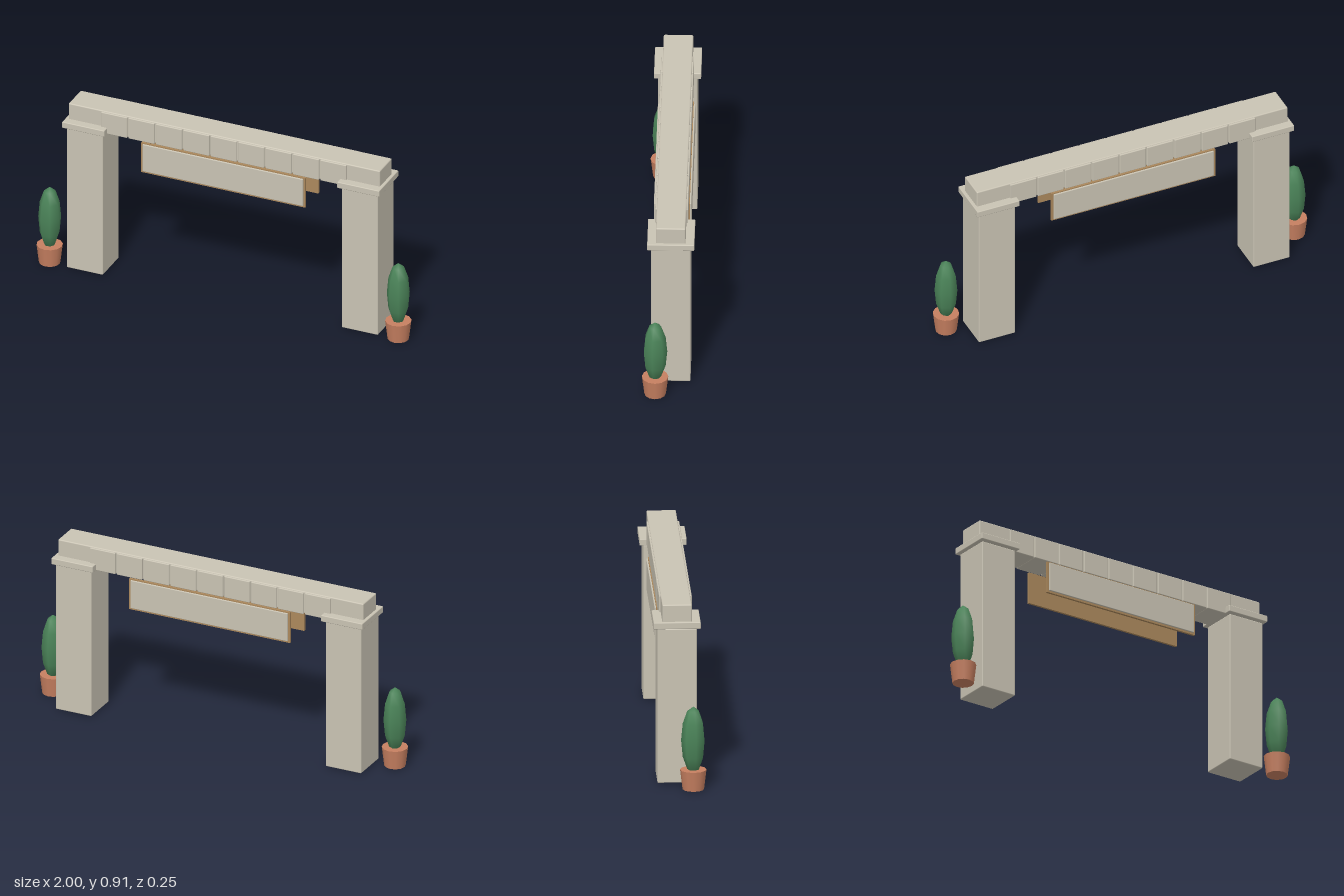
import * as THREE from 'three';
import { RoundedBoxGeometry } from 'three/addons/geometries/RoundedBoxGeometry.js';

const material = (name, color) => {
  const m = new THREE.MeshStandardMaterial({ color });
  m.name = name;
  return m;
};

export function createModel() {
  const model = new THREE.Group();
  model.name = 'gateway';
  const stone = material('stone', 0xc9c3b3);
  const wood = material('wood', 0xab885c);
  const clay = material('terracotta', 0xc67f60);
  const leaf = material('foliage', 0x4b8459);

  const add = (name, geometry, mat, x, y, z) => {
    const mesh = new THREE.Mesh(geometry, mat);
    mesh.name = name;
    mesh.position.set(x, y, z);
    model.add(mesh);
    return mesh;
  };

  // Softly bevelled box given by its limits along each axis
  const block = (name, mat, [x0, x1], [y0, y1], [z0, z1], bevel = 0.005) =>
    add(name, new RoundedBoxGeometry(x1 - x0, y1 - y0, z1 - z0, 2, bevel), mat,
      (x0 + x1) / 2, (y0 + y1) / 2, (z0 + z1) / 2);

  const mirrorRange = (a, b, side) => (side > 0 ? [a, b] : [-b, -a]);

  for (const side of [1, -1]) {
    const label = side > 0 ? 'left' : 'right';

    // Pier and its capital
    block(label + 'Pier', stone, mirrorRange(0.64, 0.835, side), [0.003, 0.787], [-0.108, 0.085]);
    block(label + 'Capital', stone, mirrorRange(0.624, 0.851, side), [0.79, 0.824], [-0.127, 0.104], 0.004);

    // Potted shrub
    const x = side * 0.935, z = 0.063;
    add(label + 'Pot', new THREE.CylinderGeometry(0.065, 0.053, 0.1, 12), clay, x, 0.05, z);
    const bush = new THREE.SphereGeometry(0.06, 7, 6);
    bush.rotateY(-Math.PI / 2);
    bush.scale(0.95, 0.17 / 0.06, 1);
    add(label + 'Shrub', bush, leaf, x, 0.25, z);
  }

  // Lintel with a row of facing stones, proud of it at front and back
  block('lintel', stone, [-0.835, 0.835], [0.792, 0.91], [-0.084, 0.061], 0.006);
  const count = 9, pitch = 0.147;
  for (let i = 0; i < count; i++) {
    const x = (i - (count - 1) / 2) * pitch;
    block('facingStone' + (i + 1), stone, [x - 0.07, x + 0.07], [0.79, 0.905], [-0.092, 0.069], 0.004);
  }

  // Hanging sign boards: wooden backing with a stone panel facing outwards
  const middle = -0.0115;
  for (const side of [1, -1]) {
    const label = side > 0 ? 'front' : 'back';
    add(label + 'SignBoard', new THREE.BoxGeometry(0.88, 0.165, 0.012), wood,
      0, 0.704, middle + side * 0.078);
    add(label + 'SignPanel', new RoundedBoxGeometry(0.86, 0.15, 0.01, 1, 0.003), stone,
      0, 0.706, middle + side * 0.087);
  }
  return model;
}
